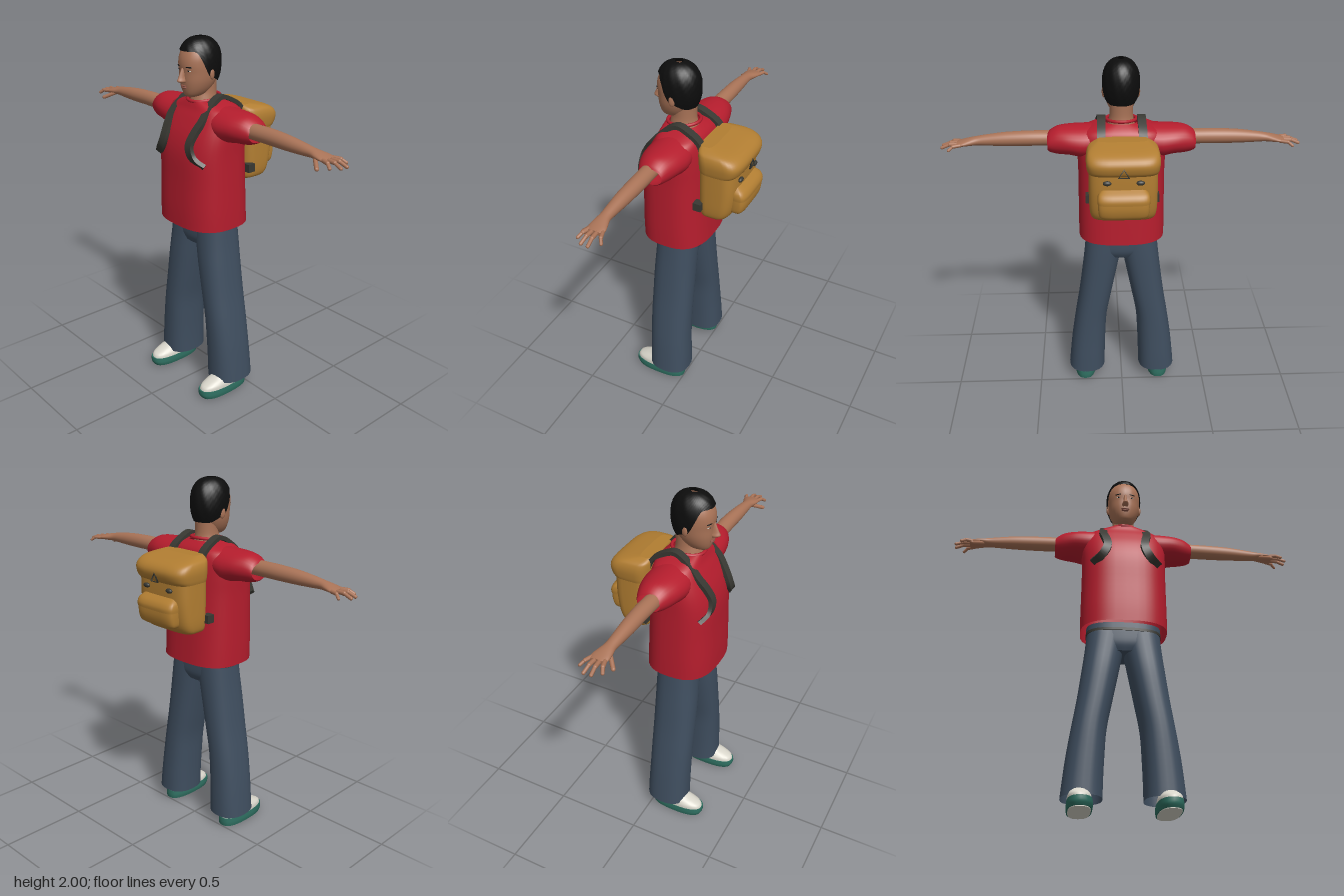
import * as THREE from 'three';

const mat = (name, color, side = THREE.FrontSide) => {
  const m = new THREE.MeshStandardMaterial({ color, side });
  m.name = name;
  return m;
};

// Smooth loft: rows are [position, u0, u1, v0, v1]; axis y uses u=x, v=z; axis x uses u=z, v=y
function loft(rows, { axis = 'y', pow = 2, n = 28, caps = true, sub = 4 } = {}) {
  const cr = (a, b, c, d, t) => b + 0.5 * t * (c - a + t * (2 * a - 5 * b + 4 * c - d + t * (3 * (b - c) + d - a)));
  const rings = [];
  for (let i = 0; i < rows.length - 1; i++) {
    const [a, b, c, d] = [rows[Math.max(i - 1, 0)], rows[i], rows[i + 1], rows[Math.min(i + 2, rows.length - 1)]];
    for (let k = 0; k < sub; k++) rings.push(b.map((_, q) => cr(a[q], b[q], c[q], d[q], k / sub)));
  }
  rings.push(rows[rows.length - 1]);
  const pos = [], idx = [];
  const put = (w, u, v) => (axis === 'y' ? pos.push(u, w, v) : pos.push(w, v, u));
  const ring = ([w, u0, u1, v0, v1]) => {
    for (let j = 0; j < n; j++) {
      const a = (j / n) * Math.PI * 2, c = Math.cos(a), s = Math.sin(a);
      put(w, (u0 + u1) / 2 + (u1 - u0) / 2 * Math.sign(c) * Math.abs(c) ** (2 / pow),
        (v0 + v1) / 2 + (v1 - v0) / 2 * Math.sign(s) * Math.abs(s) ** (2 / pow));
    }
  };
  rings.forEach(ring);
  for (let i = 0; i < rings.length - 1; i++) for (let j = 0; j < n; j++) {
    const p = i * n + j, q = i * n + (j + 1) % n;
    idx.push(p, p + n, q, q, p + n, q + n);
  }
  if (caps) [rings[0], rings[rings.length - 1]].forEach((r, e) => {
    const base = pos.length / 3;
    ring(r);
    put(r[0], (r[1] + r[2]) / 2, (r[3] + r[4]) / 2);
    for (let j = 0; j < n; j++) {
      const p = base + j, q = base + (j + 1) % n;
      e ? idx.push(base + n, q, p) : idx.push(base + n, p, q);
    }
  });
  const g = new THREE.BufferGeometry();
  g.setAttribute('position', new THREE.Float32BufferAttribute(pos, 3));
  g.setIndex(idx);
  g.computeVertexNormals();
  return g;
}

const sym = (y, rx, z0, z1) => [y, -rx, rx, z0, z1];
const V = (p) => new THREE.Vector3(...p);

// Ellipsoid placed in space
const blob = (x, y, z, rx, ry, rz, turn = 0) =>
  new THREE.SphereGeometry(1, 20, 14).scale(rx, ry, rz).rotateY(turn).translate(x, y, z);

// Rounded finger between two points
function finger(a, b, r) {
  const d = V(b).sub(V(a)), g = new THREE.CapsuleGeometry(r, d.length(), 5, 10);
  g.applyQuaternion(new THREE.Quaternion().setFromUnitVectors(V([0, 1, 0]), d.clone().normalize()));
  return g.translate(...V(a).addScaledVector(d, 0.5).toArray());
}

// Flat webbing bent along a curve
function ribbon(points, w, th) {
  const curve = new THREE.CatmullRomCurve3(points.map(V));
  const g = new THREE.BoxGeometry(w, th, 1, 1, 1, 40), p = g.attributes.position;
  for (let i = 0; i < p.count; i++) {
    const t = p.getZ(i) + 0.5, T = curve.getTangent(t);
    const X = V([1, 0, 0]).addScaledVector(T, -T.x).normalize(), N = T.clone().cross(X);
    const q = curve.getPoint(t).addScaledVector(X, p.getX(i)).addScaledVector(N, p.getY(i));
    p.setXYZ(i, q.x, q.y, q.z);
  }
  g.computeVertexNormals();
  return g;
}

// Mirror an indexed geometry across x
function mirror(geo) {
  const g = geo.clone().scale(-1, 1, 1), a = g.index.array;
  for (let i = 0; i < a.length; i += 3) [a[i], a[i + 1]] = [a[i + 1], a[i]];
  return g;
}

// Short cropped hair: rows rise from a hairline that is high in front and low behind
function hairGeometry() {
  const n = 72, m = 18, pos = [], idx = [];
  for (let i = 0; i <= m; i++) for (let j = 0; j < n; j++) {
    const a = (j / n) * Math.PI * 2, s = Math.sin(a);
    const line = 1.765 + 0.135 * THREE.MathUtils.smoothstep(s, 0.0, 0.75) + 0.03 * THREE.MathUtils.smoothstep(s, -0.75, 0.0);
    const y = line + (1.995 - line) * Math.sin((i / m) * Math.PI / 2);
    const up = Math.max(0, (y - 1.86) / 0.136), low = Math.max(0, (1.86 - y) / 0.1);
    const r = Math.max(0, 1 - up ** 2.4) ** (1 / 2.4) * (1 - 0.2 * low * low);
    const tuft = 1 + 0.018 * Math.sin(a * 17 + i * 1.3) * Math.cos(i * 1.9 + a * 5);
    pos.push(Math.cos(a) * 0.1 * r * tuft, y, 0.12 + s * 0.12 * r * tuft);
  }
  for (let i = 0; i < m; i++) for (let j = 0; j < n; j++) {
    const p = i * n + j, q = i * n + (j + 1) % n;
    idx.push(p, p + n, q, q, p + n, q + n);
  }
  const g = new THREE.BufferGeometry();
  g.setAttribute('position', new THREE.Float32BufferAttribute(pos, 3));
  g.setIndex(idx);
  g.computeVertexNormals();
  return g;
}

export function createModel() {
  const model = new THREE.Group();
  model.name = 'hiker';
  const two = THREE.DoubleSide;
  const red = mat('shirt red', 0xb51d2d, two), skin = mat('skin', 0xa97357), black = mat('hair black', 0x0d0d0d, two),
    denim = mat('trouser blue', 0x3f4e5f, two), canvas = mat('bag ochre', 0xb27e32), webbing = mat('strap grey', 0x383832),
    white = mat('shoe white', 0xd9d6cb), green = mat('sole green', 0x2e6e60), lip = mat('lip brown', 0x8a5244);
  const add = (name, geo, m) => {
    const mesh = new THREE.Mesh(geo, m);
    mesh.name = name;
    model.add(mesh);
  };
  const pair = (name, geo, m) => {
    add(name + 'Left', geo, m);
    add(name + 'Right', mirror(geo), m);
  };

  // Head and neck
  add('head', loft([
    sym(1.692, 0.025, 0.14, 0.2), sym(1.705, 0.047, 0.09, 0.215), sym(1.735, 0.068, 0.06, 0.225), sym(1.775, 0.083, 0.035, 0.231),
    sym(1.82, 0.09, 0.02, 0.232), sym(1.86, 0.093, 0.01, 0.236), sym(1.9, 0.091, 0.012, 0.23), sym(1.94, 0.075, 0.03, 0.21),
    sym(1.97, 0.04, 0.07, 0.17)], { pow: 2.2 }), skin);
  add('neck', loft([sym(1.62, 0.08, 0.01, 0.18), sym(1.68, 0.066, 0.025, 0.165), sym(1.72, 0.062, 0.028, 0.155),
    sym(1.78, 0.064, 0.025, 0.16)]), skin);
  add('nose', loft([sym(1.77, 0.013, 0.21, 0.245), sym(1.78, 0.019, 0.2, 0.268), sym(1.8, 0.013, 0.2, 0.26),
    sym(1.845, 0.008, 0.2, 0.24)], { n: 16 }), skin);
  add('upperLip', blob(0, 1.753, 0.228, 0.024, 0.005, 0.009), lip);
  add('lowerLip', blob(0, 1.744, 0.227, 0.021, 0.006, 0.009), lip);
  pair('ear', blob(0.092, 1.815, 0.115, 0.009, 0.03, 0.018, 0.3), skin);
  pair('eyeWhite', blob(0.037, 1.834, 0.222, 0.014, 0.005, 0.005, 0.3), white);
  pair('iris', blob(0.037, 1.834, 0.2245, 0.006, 0.005, 0.004, 0.3), black);
  pair('eyebrow', blob(0.038, 1.853, 0.2255, 0.02, 0.004, 0.004, 0.35), black);
  add('hair', hairGeometry(), black);

  // Shirt
  add('shirtBody', loft([
    sym(1.0, 0.24, -0.09, 0.295), sym(1.1, 0.24, -0.085, 0.295), sym(1.25, 0.238, -0.078, 0.29), sym(1.4, 0.237, -0.072, 0.285),
    sym(1.5, 0.24, -0.067, 0.262), sym(1.58, 0.238, -0.058, 0.225), sym(1.625, 0.215, -0.045, 0.2), sym(1.65, 0.16, -0.025, 0.19),
    sym(1.672, 0.088, 0.005, 0.182)], { pow: 2.7, n: 40, caps: false }), red);
  add('collar', new THREE.TorusGeometry(1, 0.11, 8, 32).rotateX(Math.PI / 2).scale(0.08, 0.08, 0.088).rotateX(0.1)
    .translate(0, 1.676, 0.095), red);
  pair('sleeve', loft([
    [0.12, -0.03, 0.19, 1.5, 1.652], [0.2, -0.04, 0.2, 1.475, 1.65], [0.28, -0.03, 0.19, 1.488, 1.647],
    [0.34, -0.012, 0.17, 1.492, 1.64], [0.38, 0.003, 0.15, 1.502, 1.62], [0.395, 0.012, 0.14, 1.512, 1.603]],
  { axis: 'x', caps: false }), red);

  // Arms and hands
  pair('arm', loft([
    [0.3, 0.05, 0.135, 1.53, 1.612], [0.39, 0.05, 0.135, 1.53, 1.612], [0.5, 0.049, 0.132, 1.53, 1.612],
    [0.62, 0.054, 0.13, 1.53, 1.606], [0.72, 0.061, 0.124, 1.533, 1.594], [0.775, 0.062, 0.122, 1.536, 1.585],
    [0.815, 0.05, 0.129, 1.536, 1.577], [0.85, 0.04, 0.132, 1.537, 1.568], [0.88, 0.043, 0.126, 1.536, 1.56]],
  { axis: 'x' }), skin);
  [[0.05, 0.92, 0.022, 0.009], [0.073, 0.96, 0.066, 0.01], [0.096, 0.958, 0.104, 0.01], [0.117, 0.925, 0.142, 0.01]]
    .forEach(([z0, x, z1, r], i) => {
      const mid = [(0.86 + x) / 2 + 0.008, 1.549, (z0 + z1) / 2];
      pair('finger' + (i + 1) + 'Base', finger([0.86, 1.55, z0], mid, r + 0.001), skin);
      pair('finger' + (i + 1) + 'Tip', finger(mid, [x, 1.533, z1], r - 0.001), skin);
    });
  pair('thumb', finger([0.805, 1.548, 0.108], [0.862, 1.517, 0.157], 0.011), skin);

  // Trousers
  pair('trouserLeg', loft([
    [0.08, 0.105, 0.322, -0.03, 0.215], [0.18, 0.103, 0.312, -0.028, 0.215], [0.3, 0.098, 0.298, -0.024, 0.216],
    [0.45, 0.088, 0.275, -0.022, 0.218], [0.6, 0.06, 0.25, -0.022, 0.218], [0.76, 0.028, 0.228, -0.022, 0.216],
    [0.88, 0.004, 0.213, -0.022, 0.21], [0.98, -0.02, 0.203, -0.02, 0.205]], { pow: 2.4, caps: false }), denim);
  add('trouserSeat', loft([sym(0.87, 0.12, 0.0, 0.19), sym(0.91, 0.185, -0.018, 0.203), sym(0.97, 0.203, -0.022, 0.206),
    sym(1.03, 0.205, -0.022, 0.206)], { pow: 2.7 }), denim);
  add('waistband', loft([sym(0.982, 0.208, -0.026, 0.211), sym(0.998, 0.208, -0.026, 0.211)], { pow: 2.7 }), webbing);

  // Shoes
  pair('shoeUpper', loft([
    [0.045, 0.163, 0.287, 0.005, 0.315], [0.07, 0.165, 0.287, 0.008, 0.305], [0.09, 0.172, 0.282, 0.012, 0.265],
    [0.11, 0.178, 0.276, 0.016, 0.215], [0.15, 0.183, 0.27, 0.02, 0.17]], { pow: 2.4 }), white);
  pair('shoeSole', loft([[0.004, 0.162, 0.288, 0.002, 0.31], [0.025, 0.158, 0.291, 0, 0.32], [0.052, 0.16, 0.289, 0.002, 0.319]],
    { pow: 2.6 }), green);
  pair('shoeTread', loft([[0, 0.168, 0.282, 0.01, 0.302], [0.005, 0.168, 0.282, 0.01, 0.302]], { pow: 2.6, sub: 1 }), white);

  // Backpack
  add('bagBody', loft([
    sym(1.215, 0.145, -0.195, -0.07), sym(1.23, 0.168, -0.225, -0.062), sym(1.28, 0.178, -0.25, -0.058),
    sym(1.38, 0.18, -0.266, -0.055), sym(1.48, 0.18, -0.268, -0.055), sym(1.56, 0.18, -0.265, -0.055)], { pow: 4, n: 40 }), canvas);
  add('bagFlap', loft([
    sym(1.495, 0.183, -0.273, -0.055), sym(1.515, 0.188, -0.288, -0.052), sym(1.555, 0.192, -0.296, -0.05),
    sym(1.588, 0.187, -0.275, -0.048), sym(1.61, 0.172, -0.225, -0.048), sym(1.628, 0.13, -0.13, -0.052)], { pow: 4, n: 40 }), canvas);
  add('bagPocket', loft([
    sym(1.258, 0.105, -0.275, -0.22), sym(1.275, 0.127, -0.3, -0.22), sym(1.32, 0.133, -0.313, -0.22),
    sym(1.37, 0.133, -0.312, -0.22)], { pow: 4, n: 32 }), canvas);
  add('pocketFlap', loft([
    sym(1.352, 0.135, -0.318, -0.22), sym(1.375, 0.136, -0.318, -0.22), sym(1.4, 0.13, -0.303, -0.22),
    sym(1.422, 0.11, -0.27, -0.22)], { pow: 4, n: 32 }), canvas);
  pair('flapBuckle', blob(0.085, 1.462, -0.273, 0.022, 0.013, 0.012), webbing);
  const loop = new THREE.TorusGeometry(0.03, 0.005, 6, 3).rotateZ(Math.PI / 2).translate(0, 1.515, -0.295);
  add('flapLoop', loop, webbing);

  // Shoulder straps with their lower anchors
  pair('shoulderStrap', ribbon([
    [0.11, 1.56, -0.07], [0.11, 1.625, -0.052], [0.107, 1.675, 0.02], [0.106, 1.692, 0.075], [0.112, 1.655, 0.145],
    [0.125, 1.59, 0.208], [0.112, 1.53, 0.252], [0.105, 1.465, 0.284], [0.13, 1.41, 0.284], [0.185, 1.365, 0.25]], 0.045, 0.022), webbing);
  pair('strapAnchor', new THREE.BoxGeometry(0.045, 0.045, 0.045).translate(0.175, 1.29, -0.075), webbing);
  return model;
}
